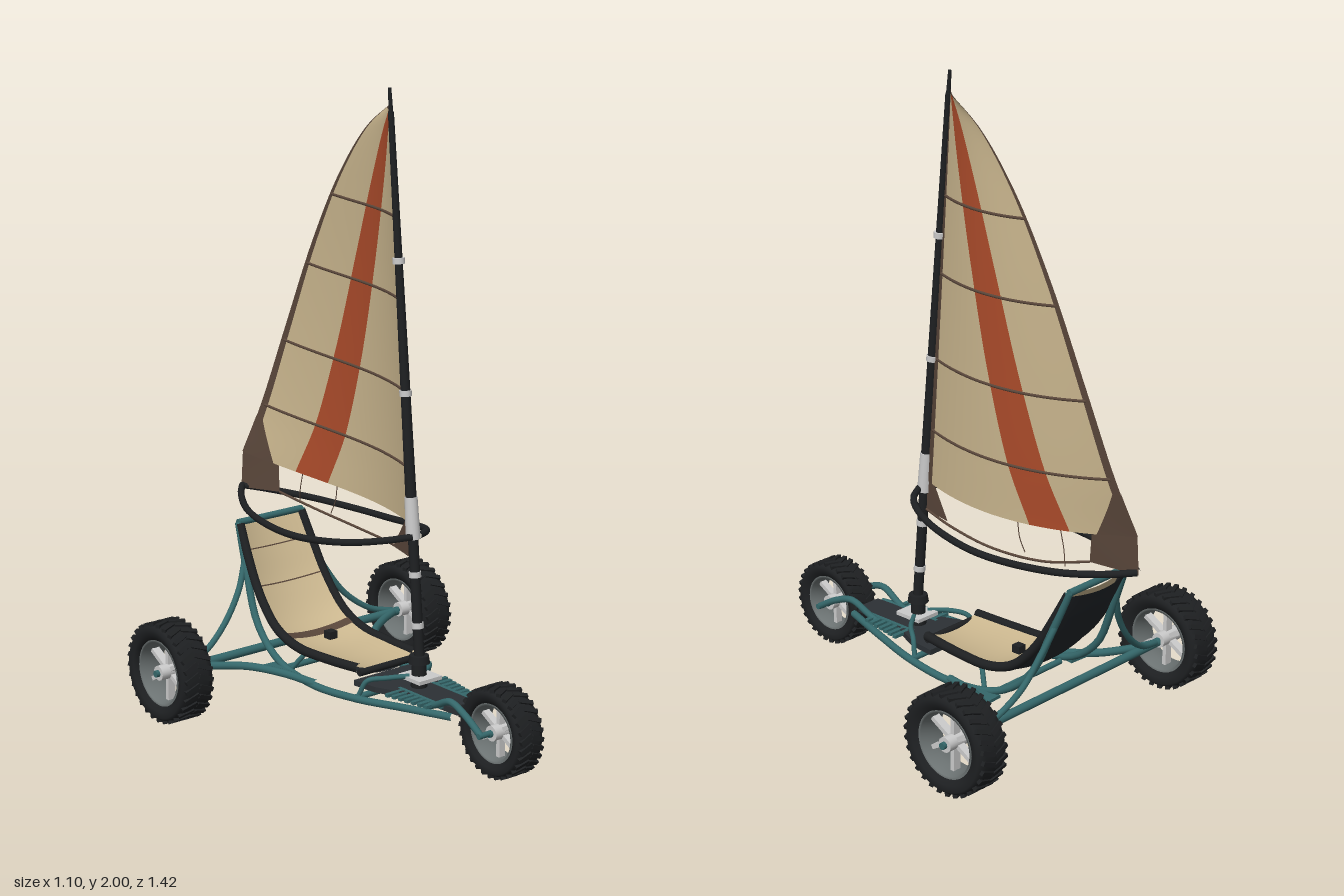
import * as THREE from 'three';
import { mergeGeometries } from 'three/addons/utils/BufferGeometryUtils.js';
import { ParametricGeometry } from 'three/addons/geometries/ParametricGeometry.js';

const mat = (color, side = THREE.FrontSide) => new THREE.MeshStandardMaterial({ color, side });
const TEAL = mat(0x35686b), BLACK = mat(0x1e2022), DECK = mat(0x2c3135), GREY = mat(0xcccccc);
const CLOTH = mat(0xcbb78f, THREE.DoubleSide), ORANGE = mat(0xad4c2b, THREE.DoubleSide);
const BROWN = mat(0x59463a, THREE.DoubleSide), UNDER = mat(0x22262a, THREE.DoubleSide);
const V = (x, y, z) => new THREE.Vector3(x, y, z);
const lerp = THREE.MathUtils.lerp;

export function createModel() {
  const root = new THREE.Group();
  const add = (name, geo, material, parent = root) => {
    const m = new THREE.Mesh(geo, material);
    m.name = name;
    parent.add(m);
    return m;
  };
  const curve = pts => new THREE.CatmullRomCurve3(pts.map(p => V(...p)));
  const tube = (name, pts, r, material, n = 32) =>
    add(name, new THREE.TubeGeometry(curve(pts), n, r, 10), material);
  // the same tube on both sides of the centre line
  const pair = (name, pts, r, material) => {
    for (const s of [-1, 1]) tube(name, pts.map(([x, y, z]) => [s * x, y, z]), r, material);
  };
  const rod = (name, a, b, ra, rb, material) => {
    const p = V(...a), d = V(...b).sub(p);
    const m = add(name, new THREE.CylinderGeometry(rb, ra, d.length(), 16), material);
    m.position.copy(p).addScaledVector(d, 0.5);
    m.quaternion.setFromUnitVectors(V(0, 1, 0), d.normalize());
    return m;
  };
  const box = (name, w, h, d, x, y, z, material) => {
    const m = add(name, new THREE.BoxGeometry(w, h, d), material);
    m.position.set(x, y, z);
    return m;
  };
  const surface = (name, fn, nu, nv, material) =>
    add(name, new ParametricGeometry((u, v, t) => t.copy(fn(u, v)), nu, nv), material);
  const polygon = (name, pts, material) => {
    const g = new THREE.BufferGeometry().setFromPoints(pts.map(p => V(...p)));
    g.setIndex(pts.slice(2).flatMap((_, i) => [0, i + 1, i + 2]));
    g.computeVertexNormals();
    return add(name, g, material);
  };

  // wheels: tyre, tread, open rim with six spokes, hub
  const wheel = (name, R, w, x, z) => {
    const g = new THREE.Group();
    g.name = name;
    const rim = R * 0.66, b = R - 0.005;
    const prof = [[rim, -0.36], [R * 0.76, -0.46], [R * 0.88, -0.49], [b - 0.006, -0.42], [b, -0.28], [b, 0.28],
      [b - 0.006, 0.42], [R * 0.88, 0.49], [R * 0.76, 0.46], [rim, 0.36], [rim, -0.36]];
    add('tyre', new THREE.LatheGeometry(prof.map(([r, k]) => new THREE.Vector2(r, k * w)), 48), BLACK, g);
    const lugs = [];
    for (let i = 0; i < 30; i++) for (const s of [-1, 1]) {
      const l = new THREE.BoxGeometry(0.012, w * 0.44, 0.014);
      l.rotateX(s * 0.4).translate(b - 0.001, s * w * 0.21, 0);
      lugs.push(l.rotateY((i + s * 0.1) * Math.PI / 15));
    }
    add('tread', mergeGeometries(lugs), BLACK, g);
    const ring = [[rim, -0.37], [rim - 0.008, -0.37], [rim - 0.012, 0], [rim - 0.008, 0.37], [rim, 0.37]];
    add('rim', new THREE.LatheGeometry(ring.map(([r, k]) => new THREE.Vector2(r, k * w)), 40), mat(0x6d7474, THREE.DoubleSide), g);
    for (let i = 0; i < 6; i++) {
      const sp = new THREE.BoxGeometry(rim - 0.012, w * 0.22, 0.014).translate(rim / 2, 0, 0);
      add('spoke', sp.rotateY(i * Math.PI / 3), GREY, g);
    }
    add('hub', new THREE.CylinderGeometry(0.024, 0.024, w * 0.75, 20), GREY, g);
    add('axleCap', new THREE.CylinderGeometry(0.011, 0.011, w * 0.95, 12), TEAL, g);
    g.rotation.z = Math.PI / 2;
    g.position.set(x, R, z);
    root.add(g);
  };
  wheel('frontWheel', 0.14, 0.106, 0, 0.575);
  for (const s of [-1, 1]) wheel('rearWheel', 0.162, 0.122, s * 0.49, -0.43);

  // frame tubes
  pair('fork', [[0.08, 0.142, 0.575], [0.077, 0.185, 0.5], [0.072, 0.205, 0.43], [0.066, 0.175, 0.36], [0.06, 0.15, 0.3]], 0.011, TEAL);
  rod('frontAxle', [-0.09, 0.142, 0.575], [0.09, 0.142, 0.575], 0.009, 0.009, TEAL);
  pair('sideRail', [[0.065, 0.155, 0.43], [0.115, 0.148, 0.26], [0.155, 0.135, 0.08], [0.172, 0.13, -0.12],
    [0.165, 0.16, -0.3], [0.155, 0.25, -0.42], [0.142, 0.4, -0.49], [0.128, 0.55, -0.55]], 0.012, TEAL);
  rod('backrestBar', [-0.13, 0.55, -0.55], [0.13, 0.55, -0.55], 0.011, 0.011, TEAL);
  rod('rearAxle', [-0.44, 0.158, -0.43], [0.44, 0.158, -0.43], 0.014, 0.014, TEAL);
  pair('rearStrut', [[0.425, 0.162, -0.435], [0.34, 0.185, -0.45], [0.25, 0.25, -0.47], [0.18, 0.345, -0.485], [0.14, 0.43, -0.505]], 0.01, TEAL);
  pair('sweptStrut', [[0.425, 0.158, -0.43], [0.35, 0.155, -0.395], [0.26, 0.15, -0.33], [0.2, 0.142, -0.23], [0.168, 0.135, -0.1]], 0.013, TEAL);
  for (const z of [0.08, -0.27]) rod('crossTube', [-0.155, 0.138, z], [0.155, 0.138, z], 0.01, 0.01, TEAL);
  pair('mastBrace', [[0.14, 0.145, 0.08], [0.125, 0.19, 0.1], [0.085, 0.205, 0.15], [0.03, 0.21, 0.19]], 0.008, TEAL);
  for (const s of [-1, 1]) {
    const shape = new THREE.Shape([[0.165, 0.31], [0.245, 0.315], [0.18, 0.2]].map(([x, z]) => new THREE.Vector2(s * x, z)));
    const gusset = add('gusset', new THREE.ExtrudeGeometry(shape, { depth: 0.01, bevelEnabled: false }), TEAL);
    gusset.rotation.x = -Math.PI / 2;
    gusset.position.y = 0.14;
  }

  // foot deck with slatted side plates
  const deckShape = new THREE.Shape([[-0.045, -0.43], [0.045, -0.43], [0.055, -0.25], [0.11, -0.12], [0.12, -0.03],
    [-0.12, -0.03], [-0.11, -0.12], [-0.055, -0.25]].map(p => new THREE.Vector2(...p)));
  const deck = add('deck', new THREE.ExtrudeGeometry(deckShape, { depth: 0.018, bevelEnabled: false }), DECK);
  deck.rotation.x = -Math.PI / 2;
  deck.position.y = 0.155;
  for (const s of [-1, 1]) {
    for (let i = 0; i < 7; i++) box('footSlat', 0.07 - i * 0.005, 0.01, 0.014, s * (0.087 - i * 0.002), 0.168, 0.19 + i * 0.025, TEAL);
    box('footPlateEdge', 0.012, 0.012, 0.2, s * 0.054, 0.168, 0.27, TEAL);
  }

  // sling seat: cloth above, dark shell below, padded edges
  const seatLine = curve([[0.115, 0.215, 0.05], [0.13, 0.21, -0.1], [0.138, 0.215, -0.24], [0.14, 0.255, -0.345],
    [0.137, 0.35, -0.435], [0.132, 0.45, -0.495], [0.125, 0.545, -0.545]]);
  const seatAt = (u, v, drop) => {
    const p = seatLine.getPoint(v), t = seatLine.getTangent(v), k = 2 * u - 1;
    const d = drop + 0.02 * (1 - k * k);
    return V(p.x * k, p.y + t.z * d, p.z - t.y * d);
  };
  surface('seatCloth', (u, v) => seatAt(u, v, -0.004), 14, 32, CLOTH);
  surface('seatShell', (u, v) => seatAt(u, v, 0.012), 14, 32, UNDER);
  surface('seatStrap', (u, v) => seatAt(u, 0.39 + 0.045 * v, -0.007), 14, 3, BROWN);
  for (const k of [0.68, 0.86]) surface('seatSeam', (u, v) => seatAt(u, k + 0.006 * v, -0.006), 14, 1, BROWN);
  const edge = seatLine.getPoints(10).map(p => [p.x, p.y, p.z]);
  pair('seatEdge', edge, 0.015, BLACK);
  rod('seatFrontEdge', [-0.115, 0.2, 0.05], [0.115, 0.2, 0.05], 0.011, 0.011, BLACK);
  box('buckle', 0.03, 0.025, 0.03, 0, 0.225, -0.235, BLACK);
  pair('seatPost', [[0.13, 0.2, -0.2], [0.145, 0.17, -0.22], [0.16, 0.14, -0.24]], 0.008, TEAL);

  // mast, its foot, collar and bands
  const mastZ = y => lerp(0.2, 0.056, (y - 0.28) / 1.72);
  const mastPart = (name, y0, y1, r0, r1, material) => rod(name, [0, y0, mastZ(y0)], [0, y1, mastZ(y1)], r0, r1, material);
  mastPart('mast', 0.25, 0.66, 0.016, 0.016, BLACK);
  mastPart('mastSleeve', 0.66, 1.93, 0.018, 0.009, BLACK);
  mastPart('mastTip', 1.93, 2.0, 0.007, 0.005, BLACK);
  mastPart('mastCollar', 0.64, 0.77, 0.023, 0.02, GREY);
  for (const y of [0.36, 0.52, 1.08, 1.48]) mastPart('mastBand', y, y + 0.018, 0.019, 0.019, GREY);
  rod('mastFoot', [0, 0.17, 0.2], [0, 0.25, 0.2], 0.026, 0.022, BLACK);
  rod('mastFootRing', [0, 0.25, 0.2], [0, 0.275, 0.2], 0.034, 0.03, BLACK);
  box('mastPlate', 0.09, 0.012, 0.1, 0, 0.206, 0.205, GREY);

  // wishbone boom
  pair('boom', [[0.012, 0.65, 0.18], [0.08, 0.643, 0.14], [0.14, 0.622, 0.03], [0.172, 0.6, -0.15], [0.17, 0.595, -0.3],
    [0.125, 0.6, -0.5], [0.05, 0.612, -0.64], [0, 0.62, -0.7]], 0.011, BLACK);

  // sail surface: u runs luff to leech, t runs foot to head
  const leech = curve([[0.004, 0.735, -0.7], [0.035, 0.9, -0.64], [0.06, 1.17, -0.54], [0.07, 1.465, -0.41],
    [0.068, 1.7, -0.27], [0.062, 1.86, -0.13], [0.052, 1.945, 0]]);
  const sailAt = (u, t) => {
    const e = leech.getPoint(t), y = lerp(0.68, 1.945, (e.y - 0.735) / 1.21);
    const camber = 0.078 * (1 - t) * Math.sin(Math.PI * Math.pow(u, 0.85));
    return V(e.x * u + camber, lerp(y, e.y, u ** 3), lerp(mastZ(y) - 0.008, e.z, u));
  };
  const panel = (name, a, b, t0, t1, material, lift = 0) => surface(name, (u, v) => {
    const t = lerp(t0, t1, v), p = sailAt(lerp(a(t), b(t), u), t);
    p.x += lift;
    return p;
  }, 12, 40, material);
  const at = k => () => k;
  const stripeL = t => lerp(0.58, 0.12, Math.pow(t, 1.1));
  const stripeR = t => lerp(0.745, 0.4, Math.pow(t, 1.1));
  panel('luffStrip', at(0), at(0.045), 0, 0.97, BROWN);
  panel('sailFront', at(0.045), stripeL, 0, 0.97, CLOTH);
  panel('sailStripe', stripeL, stripeR, 0, 0.97, ORANGE);
  panel('sailBack', stripeR, at(0.965), 0, 0.97, CLOTH);
  panel('leechStrip', at(0.965), at(1), 0, 0.97, BROWN);
  panel('headPatch', at(0), at(1), 0.97, 1, BROWN);
  for (const s of [-1, 1]) panel('clewPatch', t => 0.85 + 0.9 * t, at(1), 0, 0.13, BROWN, s * 0.002);

  // battens across the sail
  for (const y of [0.9, 1.13, 1.39, 1.63]) {
    let t = 0;
    while (leech.getPoint(t).y < y) t += 0.005;
    const pts = Array.from({ length: 13 }, (_, i) => sailAt(0.03 + 0.95 * i / 12, t).toArray());
    tube('batten', pts, 0.0045, BROWN, 30);
  }

  // corner patches and foot line below the sail
  polygon('tackPatch', [[0, 0.69, 0.165], [0.008, 0.69, 0.125], [0.03, 0.58, 0.04], [0, 0.578, 0.165]], BROWN);
  polygon('clewCorner', [[0.045, 0.715, -0.56], [0.004, 0.735, -0.7], [0, 0.612, -0.705], [0.04, 0.622, -0.55]], BROWN);
  tube('footLine', [[0, 0.58, 0.165], [0.05, 0.577, 0], [0.08, 0.575, -0.2], [0.075, 0.59, -0.4], [0.04, 0.622, -0.55]], 0.004, BROWN);
  for (const [u, z] of [[0.53, -0.3], [0.71, -0.46]]) {
    const p = sailAt(u, 0);
    tube('footSeam', [p.toArray(), [p.x, 0.64, z - 0.005], [0.07, 0.595, z - 0.02]], 0.0015, BROWN, 8);
  }
  return root;
}
